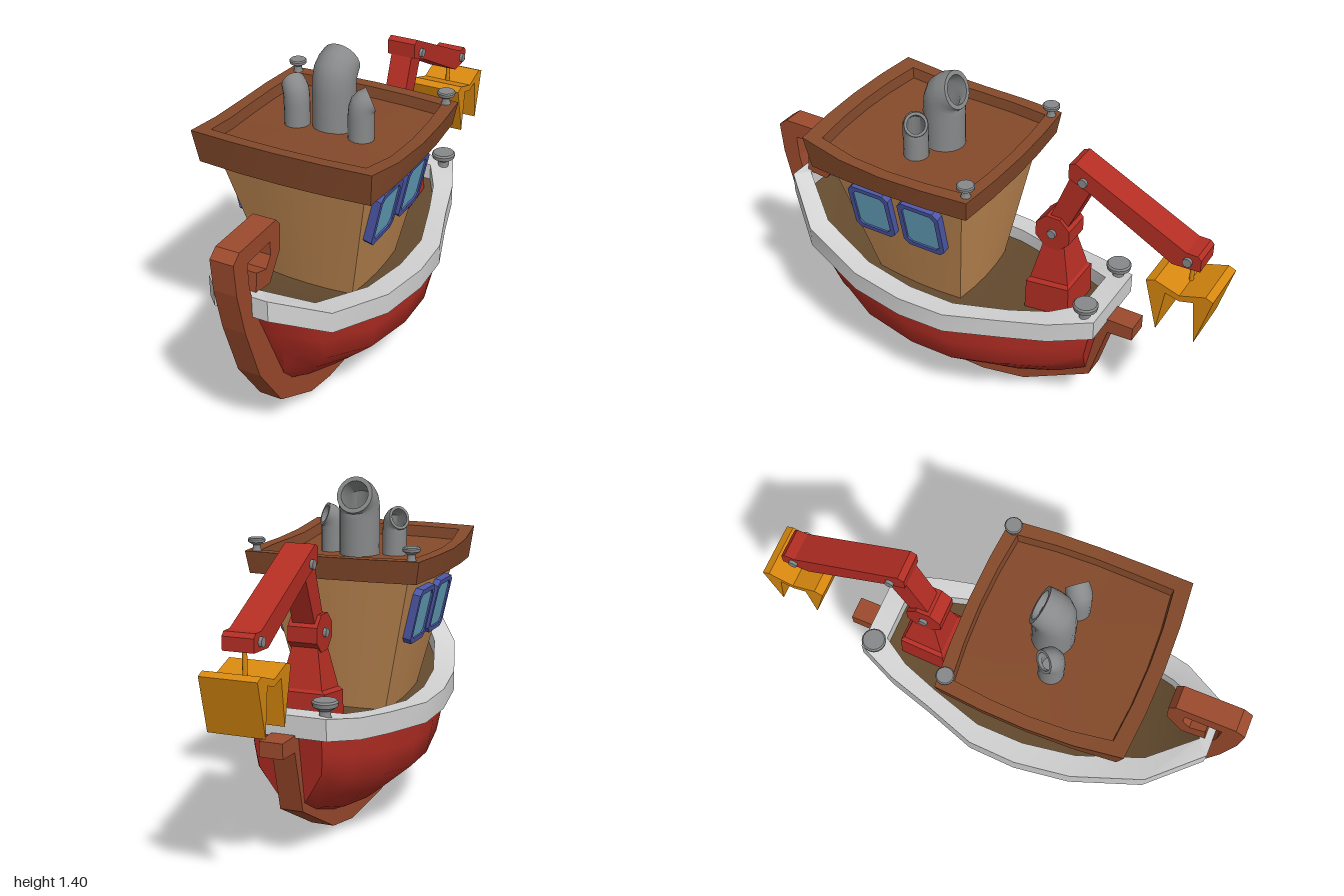
import * as THREE from 'three';
import { toCreasedNormals } from 'three/addons/utils/BufferGeometryUtils.js';

const paint = (name, color) => {
  const m = new THREE.MeshStandardMaterial({ color });
  m.name = name;
  return m;
};

// Skin a list of closed rings of [x, y, z]; rings run counterclockwise seen from the last one
function loft(rings, capStart = true, capEnd = true, crease = 0.5) {
  const n = rings[0].length, pos = rings.flat(2), idx = [];
  for (let r = 0; r < rings.length - 1; r++) {
    for (let i = 0; i < n; i++) {
      const a = r * n + i, b = r * n + (i + 1) % n;
      idx.push(a, b, b + n, a, b + n, a + n);
    }
  }
  const cap = (r, flip) => {
    const c = pos.length / 3;
    for (let k = 0; k < 3; k++) pos.push(rings[r].reduce((s, p) => s + p[k], 0) / n);
    for (let i = 0; i < n; i++) {
      const a = r * n + i, b = r * n + (i + 1) % n;
      idx.push(c, flip ? b : a, flip ? a : b);
    }
  };
  if (capStart) cap(0, true);
  if (capEnd) cap(rings.length - 1, false);
  const g = new THREE.BufferGeometry();
  g.setAttribute('position', new THREE.Float32BufferAttribute(pos, 3));
  g.setIndex(idx);
  return toCreasedNormals(g, crease);
}

// Extrude a [z, y] outline sideways, centred on x = 0
function sideExtrude(points, width) {
  const shape = new THREE.Shape(points.map(p => new THREE.Vector2(...p)));
  const g = new THREE.ExtrudeGeometry(shape, { depth: width, bevelEnabled: false });
  return g.translate(0, 0, -width / 2).rotateY(-Math.PI / 2);
}

// Rectangle in plan with gently bowed sides
function bowedRing(hx, back, front, bowX, bowZ, height) {
  const corners = [[hx, front], [hx, back], [-hx, back], [-hx, front]];
  const out = [[bowX, 0], [0, -bowZ], [-bowX, 0], [0, bowZ]];
  const ring = [];
  corners.forEach(([x, z], s) => {
    const [x2, z2] = corners[(s + 1) % 4];
    for (let i = 0; i < 4; i++) {
      const t = i / 4, k = 4 * t * (1 - t);
      const px = x + (x2 - x) * t + out[s][0] * k, pz = z + (z2 - z) * t + out[s][1] * k;
      ring.push([px, height(pz), pz]);
    }
  });
  return ring;
}

// Bent pipe opening towards -z, hollow at the mouth
function pipeGeometry() {
  const ring = (r, y, z, tilt) => Array.from({ length: 20 }, (_, i) => {
    const a = i / 20 * Math.PI * 2, d = -Math.sin(a) * r;
    return [Math.cos(a) * r, y + d * Math.sin(tilt), z + d * Math.cos(tilt)];
  });
  return loft([ring(0.083, 0, 0, 0), ring(0.083, 0.16, 0, 0), ring(0.083, 0.2, -0.003, 0.3),
    ring(0.083, 0.23, -0.012, 0.6), ring(0.08, 0.25, -0.035, 0.9), ring(0.076, 0.26, -0.06, 1.2),
    ring(0.058, 0.26, -0.06, 1.2), ring(0.058, 0.23, -0.015, 0.7), ring(0.058, 0.12, 0, 0)], true, true, 0.7);
}

function windowShape(w, h, c) {
  const pts = [[-w + c, -h], [w - c, -h], [w, -h + c], [w, h - c], [w - c, h], [-w + c, h], [-w, h - c], [-w, -h + c]];
  return new THREE.Shape(pts.map(p => new THREE.Vector2(...p)));
}

export function createModel() {
  const model = new THREE.Group();
  const red = paint('red paint', 0xb52e24), keelWood = paint('keel wood', 0x9c4a2d);
  const roofWood = paint('roof wood', 0x854a2b), tan = paint('cabin tan', 0xc28a53);
  const deckWood = paint('deck wood', 0x634a2e), white = paint('rail white', 0xd2d2d2);
  const metal = paint('grey metal', 0x88898a), blue = paint('window blue', 0x4c58a8);
  const glass = paint('glass', 0x68a8c4), gold = paint('claw yellow', 0xd8880f);
  const add = (name, geo, mat, parent = model) => {
    const m = new THREE.Mesh(geo, mat);
    m.name = name;
    parent.add(m);
    return m;
  };

  // Hull: stations from stern to bow, [rail z, rail half width, rail y, keel z, keel y]
  const stations = [
    [-0.54, 0.14, 0.535, -0.48, 0.22], [-0.4, 0.21, 0.5, -0.37, 0.165], [-0.2, 0.28, 0.48, -0.2, 0.11],
    [0, 0.33, 0.465, 0, 0.08], [0.2, 0.335, 0.468, 0.18, 0.083], [0.45, 0.3, 0.49, 0.4, 0.11],
    [0.72, 0.21, 0.56, 0.55, 0.155], [0.88, 0.095, 0.67, 0.67, 0.2]];
  const section = [[1, 1], [0.97, 0.75], [0.91, 0.48], [0.6, 0.25], [0.35, 0.07], [0.12, 0]];
  const hullRings = stations.map(([rz, rx, ry, kz, ky]) => {
    const half = section.map(([fx, fy]) => [rx * fx, ky + (ry - ky) * fy, kz + (rz - kz) * fy]);
    return [...half.map(([x, y, z]) => [-x, y, z]), ...half.slice().reverse()];
  });
  add('hull', loft(hullRings, true, true, 0.75), red);

  // Rail: [outer x, outer z, inner x, inner z, top y] from bow to stern
  const rail = [
    [0.11, 0.9, 0.055, 0.85, 0.745], [0.26, 0.71, 0.175, 0.68, 0.625], [0.345, 0.43, 0.255, 0.42, 0.562],
    [0.373, 0.2, 0.285, 0.2, 0.545], [0.363, 0, 0.28, 0, 0.54], [0.29, -0.22, 0.215, -0.22, 0.552],
    [0.24, -0.4, 0.165, -0.37, 0.573], [0.17, -0.565, 0.1, -0.48, 0.605]];
  const railRing = (k, drop) => {
    const half = rail.map(p => [p[k], p[4] - drop, p[k + 1]]);
    return [...half, ...half.slice().reverse().map(([x, y, z]) => [-x, y, z])];
  };
  const railRings = [railRing(0, 0.085), railRing(0, 0), railRing(2, 0), railRing(2, 0.085), railRing(0, 0.085)];
  add('rail', loft(railRings, false, false), white);

  // Deck
  const deckRings = rail.slice().reverse().map(([ox, oz, ix, iz, y]) => {
    const x = (ox + ix) / 2, z = (oz + iz) / 2, t = y - 0.06;
    return [[-x, t, z], [-x, t - 0.02, z], [x, t - 0.02, z], [x, t, z]];
  });
  add('deck', loft(deckRings), deckWood);

  // Keel with curled prow and rudder stub
  add('keel', sideExtrude([
    [1, 0.93], [0.96, 0.96], [0.72, 0.96], [0.695, 0.93], [0.7, 0.83], [0.775, 0.73], [0.87, 0.74], [0.86, 0.82],
    [0.797, 0.8], [0.765, 0.84], [0.765, 0.895], [0.915, 0.89], [0.91, 0.8], [0.89, 0.7], [0.85, 0.6],
    [0.75, 0.4], [0.65, 0.22], [0.45, 0.14], [0.3, 0.1], [0, 0.095], [-0.24, 0.13], [-0.46, 0.24],
    [-0.53, 0.53], [-0.675, 0.53], [-0.675, 0.47], [-0.57, 0.465], [-0.5, 0.21], [-0.2, 0.045], [0, 0.005],
    [0.35, 0.015], [0.5, 0.045], [0.73, 0.17], [0.87, 0.38], [0.95, 0.62], [0.99, 0.8]], 0.094), keelWood);

  // Cabin and tray roof raised at the front
  add('cabin', loft([bowedRing(0.177, 0.03, 0.405, 0.01, 0.015, () => 0.47),
    bowedRing(0.302, -0.062, 0.535, 0.01, 0.02, () => 1.04)]), tan);
  const roofTop = z => 1.12 + Math.max(0, z - 0.36) * 0.17;
  add('roof', loft([
    bowedRing(0.35, -0.11, 0.59, 0.02, 0.018, () => 1.03),
    bowedRing(0.365, -0.122, 0.612, 0.022, 0.02, roofTop),
    bowedRing(0.315, -0.075, 0.555, 0.022, 0.02, roofTop),
    bowedRing(0.31, -0.07, 0.55, 0.022, 0.02, z => roofTop(z) - 0.045)]), roofWood);

  // Side windows
  const frameShape = windowShape(0.093, 0.114, 0.022);
  frameShape.holes.push(windowShape(0.073, 0.093, 0.018));
  const frameGeo = new THREE.ExtrudeGeometry(frameShape, { depth: 0.038, bevelEnabled: false });
  const paneGeo = new THREE.ExtrudeGeometry(windowShape(0.078, 0.098, 0.018), { depth: 0.008, bevelEnabled: false });
  for (const s of [1, -1]) {
    for (const z of [0.355, 0.127]) {
      const win = new THREE.Group();
      win.name = 'sideWindow';
      win.position.set(s * 0.264, 0.875, z);
      win.rotation.set(0.215, s * Math.PI / 2, 0, 'YXZ');
      add('windowFrame', frameGeo, blue, win);
      add('windowPane', paneGeo, glass, win).position.z = 0.023;
      model.add(win);
    }
  }

  // Funnels
  const pipe = pipeGeometry();
  add('mainFunnel', pipe, metal).position.set(0, 1.07, 0.2);
  for (const s of [1, -1]) {
    const p = add('sideFunnel', pipe, metal);
    p.position.set(s * 0.135, 1.07, 0.245);
    p.rotation.y = -s * 0.9;
    p.scale.set(0.6, 0.64, 0.6);
  }

  // Bollards on the roof corners and stern rail
  const bollard = toCreasedNormals(new THREE.LatheGeometry([[0.032, 0], [0.022, 0.025], [0.022, 0.045],
    [0.048, 0.062], [0.05, 0.078], [0.044, 0.085], [0, 0.085]].map(p => new THREE.Vector2(...p)), 16), 0.6);
  for (const s of [1, -1]) {
    add('sternBollard', bollard, metal).position.set(s * 0.145, 0.578, -0.515);
    const b = add('roofBollard', bollard, metal);
    b.position.set(s * 0.325, 1.112, -0.095);
    b.scale.setScalar(0.7);
  }

  // Crane
  const crane = new THREE.Group();
  crane.name = 'crane';
  model.add(crane);
  const rect = (x, z0, z1, y0, y1) => [[x, y1, z1], [x, y0, z0], [-x, y0, z0], [-x, y1, z1]];
  add('craneBase', loft([rect(0.1, -0.42, -0.225, 0.48, 0.48), rect(0.1, -0.415, -0.23, 0.65, 0.625),
    rect(0.085, -0.405, -0.24, 0.66, 0.64), rect(0.052, -0.365, -0.28, 0.82, 0.82)], true, true, 0.2), red, crane);
  const octagon = Array.from({ length: 8 }, (_, i) => {
    const a = (i + 0.5) * Math.PI / 4;
    return [-0.317 + 0.078 * Math.cos(a), 0.865 + 0.078 * Math.sin(a)];
  });
  add('craneElbow', sideExtrude(octagon, 0.12), red, crane);
  add('lowerArm', sideExtrude([[-0.275, 0.87], [-0.36, 0.87], [-0.47, 1.12], [-0.385, 1.16]], 0.09), red, crane);
  add('upperArm', sideExtrude([[-0.375, 1.2], [-0.4, 1.212], [-0.86, 0.985], [-0.905, 0.985], [-0.92, 0.97],
    [-0.92, 0.92], [-0.81, 0.915], [-0.47, 1.1], [-0.375, 1.14]], 0.12), red, crane);
  const bolt = toCreasedNormals(new THREE.CylinderGeometry(0.018, 0.018, 0.145, 12).rotateZ(Math.PI / 2), 0.6);
  for (const [z, y] of [[-0.317, 0.865], [-0.437, 1.143], [-0.87, 0.95]]) {
    add('craneBolt', bolt, metal, crane).position.set(0, y, z);
  }

  // Hanging claw
  add('clawRod', new THREE.CylinderGeometry(0.009, 0.009, 0.13, 10), gold, crane).position.set(0, 0.87, -0.87);
  add('claw', sideExtrude([[-0.735, 0.845], [-0.77, 0.858], [-0.87, 0.825], [-0.97, 0.858], [-1, 0.845],
    [-0.945, 0.635], [-0.925, 0.815], [-0.87, 0.8], [-0.815, 0.815], [-0.79, 0.635]], 0.22), gold, crane);

  return model;
}
